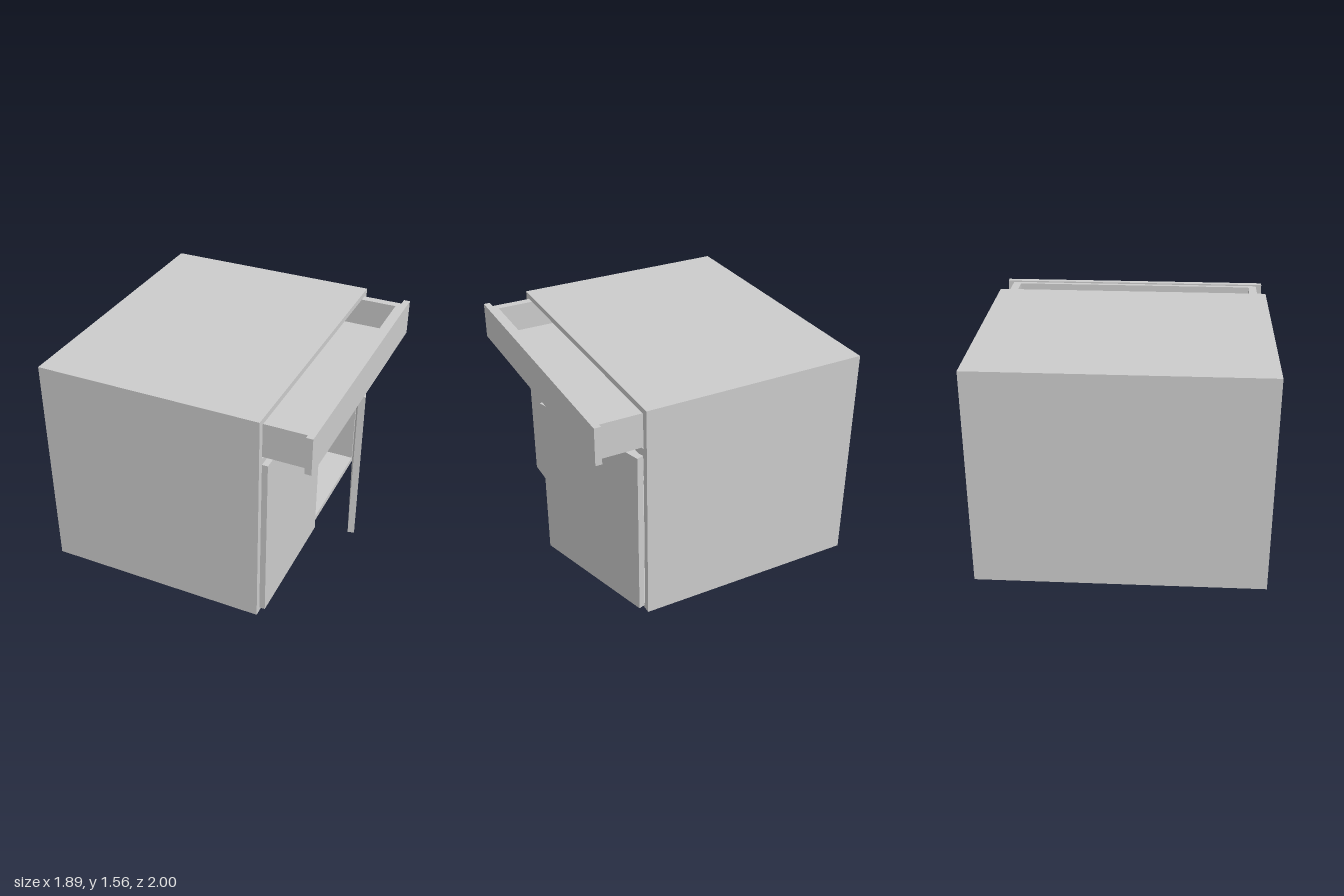
import * as THREE from 'three';

const material = new THREE.MeshStandardMaterial({ color: 0xcccccc });

// Box given by its lower and upper corners
function board(parent, name, [x0, y0, z0], [x1, y1, z1]) {
  const geometry = new THREE.BoxGeometry(x1 - x0, y1 - y0, z1 - z0);
  geometry.translate((x0 + x1) / 2, (y0 + y1) / 2, (z0 + z1) / 2);
  const mesh = new THREE.Mesh(geometry, material);
  mesh.name = name;
  parent.add(mesh);
  return mesh;
}

function group(parent, name) {
  const g = new THREE.Group();
  g.name = name;
  parent.add(g);
  return g;
}

export function createModel() {
  const model = new THREE.Group();
  model.name = 'cabinet';
  const back = -0.95, front = 0.61, height = 1.56, wall = 0.045;

  // Carcass, open towards +x
  const carcass = group(model, 'carcass');
  board(carcass, 'bottomPanel', [back, 0, -1], [front, 0.04, 1]);
  board(carcass, 'topPanel', [back, height - 0.04, -1], [front, height, 1]);
  board(carcass, 'backPanel', [back, 0.04, -1], [back + 0.04, height - 0.04, 1]);
  for (const [name, z] of [['leftWall', 1 - wall], ['rightWall', -1]]) {
    board(carcass, name, [back + 0.04, 0.04, z], [front, height - 0.04, z + wall]);
  }
  board(carcass, 'drawerDivider', [back + 0.04, 1.2, -1 + wall], [front, 1.27, 1 - wall]);

  // Recessed shelves
  for (const y of [0.4, 0.77]) {
    board(carcass, 'shelf', [back + 0.04, y, -1 + wall], [0.22, y + 0.037, 1 - wall]);
  }

  // Pulled-out drawer
  const drawer = group(model, 'drawer');
  const rear = -0.58, low = 1.28, high = 1.52;
  board(drawer, 'drawerFront', [0.9, 1.27, -0.99], [0.945, 1.53, 0.99]);
  board(drawer, 'drawerBottom', [rear, low, -0.947], [0.9, low + 0.035, 0.947]);
  board(drawer, 'drawerInnerFront', [0.867, low + 0.035, -0.887], [0.9, high, 0.887]);
  board(drawer, 'drawerBack', [rear, low + 0.035, -0.887], [rear + 0.035, high, 0.887]);
  for (const z of [-0.947, 0.887]) {
    board(drawer, 'drawerSide', [rear, low + 0.035, z], [0.9, high, z + 0.06]);
  }

  // One closed door and one standing ajar on its outer hinge
  board(model, 'closedDoor', [0.605, 0.03, 0.005], [0.65, 1.225, 0.955]);
  const openDoor = board(model, 'openDoor', [0, 0.03, 0], [0.048, 1.225, 0.95]);
  openDoor.position.set(0.614, 0, -0.957);
  openDoor.rotation.y = THREE.MathUtils.degToRad(17);

  return model;
}
